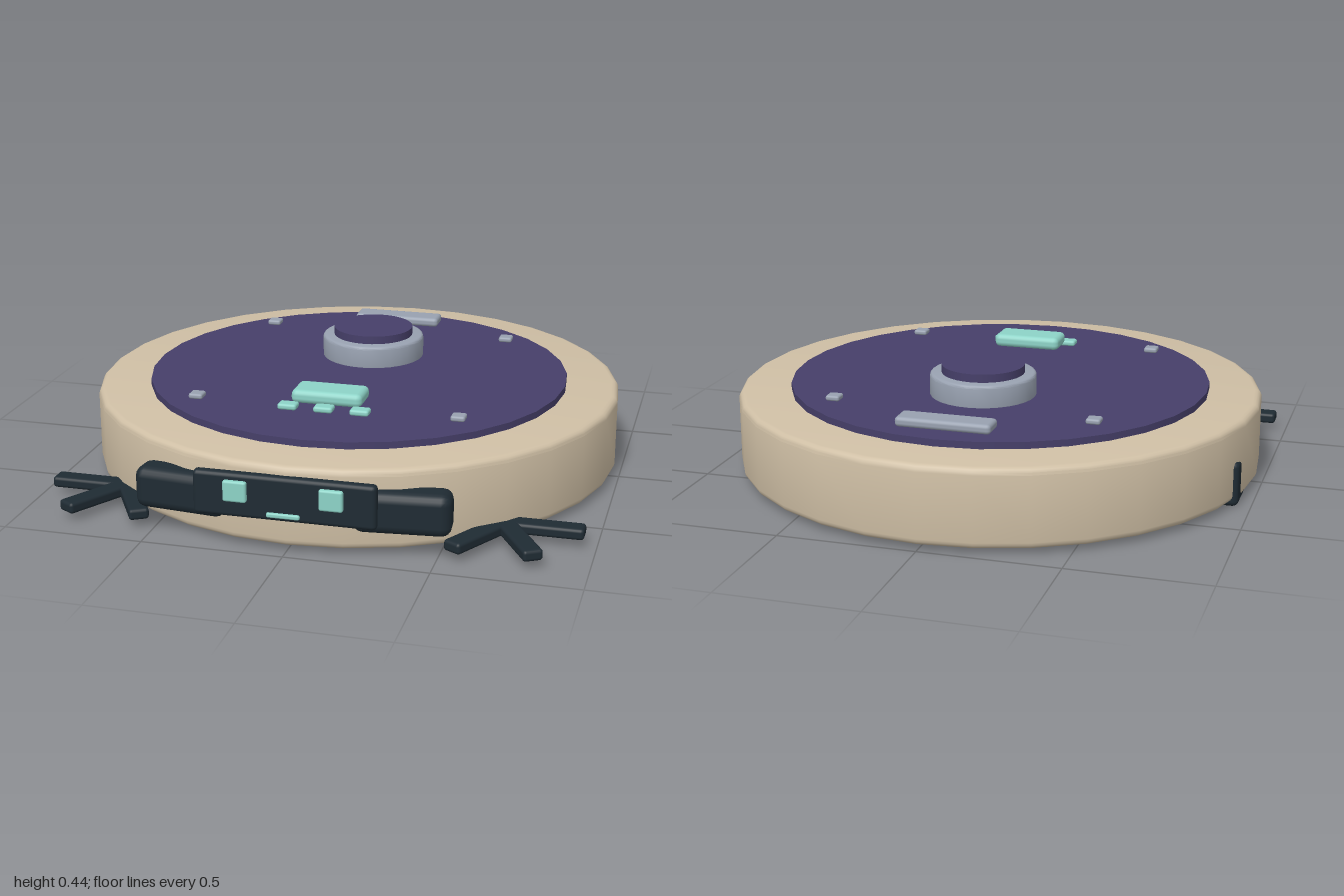
import * as THREE from 'three';
import { toCreasedNormals } from 'three/addons/utils/BufferGeometryUtils.js';
import { RoundedBoxGeometry } from 'three/addons/geometries/RoundedBoxGeometry.js';

function material(name, color) {
  const m = new THREE.MeshStandardMaterial({ color });
  m.name = name;
  return m;
}

export function createModel() {
  const shell = material('sand shell', 0xcfbfa5);
  const purple = material('deep purple', 0x463f69);
  const grey = material('cool grey', 0x98a1b0);
  const teal = material('pale teal', 0x8dd3c7);
  const dark = material('dark slate', 0x1f2b33);

  const model = new THREE.Group();
  model.name = 'robotVacuum';

  function add(name, geometry, mat, x, y, z, parent = model) {
    const mesh = new THREE.Mesh(geometry, mat);
    mesh.name = name;
    mesh.position.set(x, y, z);
    parent.add(mesh);
    return mesh;
  }

  // Rounded box given by its size
  const block = (w, h, d, r) => new RoundedBoxGeometry(w, h, d, 2, r);

  // Solid disc from y0 to y1 with rounded rims
  function disc(radius, y0, y1, bevel, segments = 32) {
    const pts = [new THREE.Vector2(0, y0)];
    for (const [cy, start] of [[y0 + bevel, -Math.PI / 2], [y1 - bevel, 0]]) {
      for (let i = 0; i <= 4; i++) {
        const a = start + (i / 4) * Math.PI / 2;
        pts.push(new THREE.Vector2(radius - bevel + bevel * Math.cos(a), cy + bevel * Math.sin(a)));
      }
    }
    pts.push(new THREE.Vector2(0, y1));
    return toCreasedNormals(new THREE.LatheGeometry(pts, segments), 0.5);
  }

  // Body and lid
  add('body', disc(0.98, 0.02, 0.305, 0.025), shell, 0, 0, -0.02);
  add('lid', new THREE.CylinderGeometry(0.785, 0.785, 0.04, 32), purple, 0, 0.31, -0.02);

  // Sensor turret
  add('turretRing', disc(0.195, 0.32, 0.412, 0.012), grey, 0, 0, -0.24);
  add('turretCap', new THREE.CylinderGeometry(0.152, 0.152, 0.06, 32), purple, 0, 0.412, -0.24);

  // Lid fittings
  add('rearHandle', block(0.345, 0.036, 0.095, 0.014), grey, 0, 0.35, -0.675);
  add('mainButton', block(0.26, 0.05, 0.13, 0.02), teal, 0, 0.37, 0.393);
  for (const x of [-0.132, 0, 0.132]) {
    add('smallButton', block(0.07, 0.022, 0.05, 0.009), teal, x, 0.345, 0.479);
  }
  for (const x of [-0.48, 0.48]) {
    for (const z of [-0.5, 0.458]) {
      add('lidScrew', block(0.052, 0.02, 0.052, 0.008), grey, x, 0.348, z);
    }
  }

  // Front bumper with indicator lights
  add('bumperPlate', block(0.63, 0.156, 0.04, 0.015), dark, 0, 0.197, 0.965);
  for (const x of [-0.165, 0.165]) {
    add('bumperLight', block(0.082, 0.074, 0.03, 0.008), teal, x, 0.215, 0.985);
  }
  add('bumperSlot', block(0.115, 0.017, 0.025, 0.006), teal, 0, 0.142, 0.982);

  for (const side of [1, -1]) {
    const label = side > 0 ? 'left' : 'right';

    // Bumper wing
    const wing = add(label + 'BumperWing', block(0.33, 0.148, 0.115, 0.035), dark, side * 0.382, 0.162, 0.882);
    wing.rotation.y = side * 0.1;

    // Side brush: hub with three blades
    const brush = new THREE.Group();
    brush.name = label + 'SideBrush';
    brush.position.set(side * 0.683, 0.05, 0.655);
    model.add(brush);
    add('brushHub', new THREE.CylinderGeometry(0.04, 0.04, 0.036, 16), dark, 0, 0, 0, brush);
    for (let i = 0; i < 3; i++) {
      const a = i * Math.PI / 3;
      const blade = add('brushBlade', block(0.28, 0.04, 0.07, 0.012), dark,
        side * 0.135 * Math.cos(a), 0, 0.135 * Math.sin(a), brush);
      blade.rotation.y = -side * a;
    }

    // Drive wheel housing, mostly inside the body
    add(label + 'Wheel', block(0.19, 0.165, 0.425, 0.02), dark, side * 0.86, 0.0835, -0.08);
  }

  return model;
}
